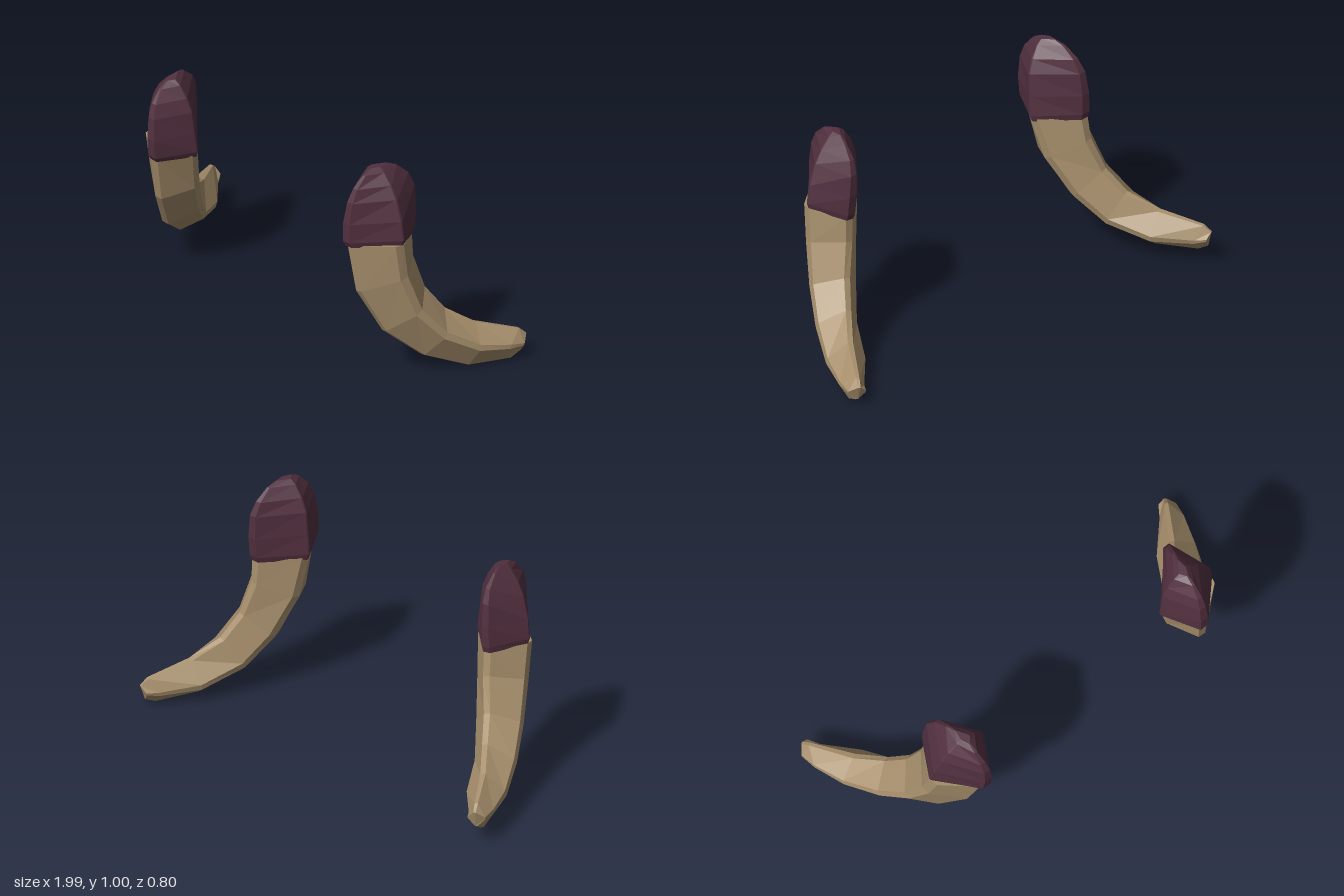
import * as THREE from 'three';

const hornMat = new THREE.MeshStandardMaterial({ color: 0xa78f6c, flatShading: true });
hornMat.name = 'tan horn';
const capMat = new THREE.MeshStandardMaterial({ color: 0x52303f, flatShading: true });
capMat.name = 'dark plum';

const V = (x, y, z) => new THREE.Vector3(x, y, z);

// Horn sections from tip to root: front, outer, back and inner corner
const hornSections = [
  [V(0.96, 0.03, -0.335), V(0.995, 0.07, -0.32), V(0.965, 0.1, -0.36), V(0.93, 0.07, -0.36)],
  [V(0.95, 0.005, -0.28), V(0.985, 0.08, -0.25), V(0.95, 0.13, -0.33), V(0.9, 0.06, -0.31)],
  [V(0.87, 0.01, -0.1), V(0.94, 0.11, -0.11), V(0.85, 0.19, -0.16), V(0.78, 0.08, -0.17)],
  [V(0.78, 0.09, 0.08), V(0.875, 0.2, 0.035), V(0.77, 0.27, -0.05), V(0.69, 0.15, 0.0)],
  [V(0.7, 0.235, 0.235), V(0.82, 0.33, 0.14), V(0.72, 0.38, 0.02), V(0.615, 0.28, 0.1)],
  [V(0.64, 0.44, 0.33), V(0.787, 0.505, 0.2), V(0.68, 0.53, 0.055), V(0.55, 0.46, 0.18)],
  [V(0.62, 0.67, 0.36), V(0.78, 0.67, 0.22), V(0.675, 0.65, 0.06), V(0.52, 0.65, 0.21)],
];

// Cap sections: y, front z, back z, outer x, inner x, front ridge x, back ridge x, tilt
const capSections = [
  [0.653, 0.365, 0.055, 0.78, 0.512, 0.62, 0.675, 1],
  [0.68, 0.38, 0.045, 0.788, 0.503, 0.615, 0.675, 1],
  [0.77, 0.38, 0.035, 0.776, 0.51, 0.615, 0.675, 0.8],
  [0.87, 0.363, 0.036, 0.745, 0.52, 0.62, 0.67, 0.4],
  [0.93, 0.335, 0.06, 0.712, 0.545, 0.625, 0.66, 0.2],
  [0.98, 0.285, 0.115, 0.67, 0.58, 0.63, 0.65, 0],
  [1.0, 0.24, 0.16, 0.648, 0.607, 0.63, 0.64, 0],
].map(([y, fz, bz, ox, ix, fx, bx, t]) => [
  V(fx, y + 0.006 * t, fz), V(ox, y + 0.012 * t, 0.205),
  V(bx, y - 0.014 * t, bz), V(ix, y - 0.012 * t, 0.212),
]);

// Turn four corners into eight by giving each ridge a narrow flat
function bevel([f, o, b, i], ridge, side) {
  const across = o.clone().sub(i).multiplyScalar(ridge);
  const along = f.clone().sub(b).multiplyScalar(side);
  return [
    f.clone().sub(across), f.clone().add(across),
    o.clone().add(along), o.clone().sub(along),
    b.clone().add(across), b.clone().sub(across),
    i.clone().sub(along), i.clone().add(along),
  ];
}

// Skin the rings and close both ends
function loft(rings, place, flip) {
  const pts = [], idx = [], n = rings[0].length;
  const tri = (a, b, c) => (flip ? idx.push(a, c, b) : idx.push(a, b, c));
  rings.forEach(r => pts.push(...r));
  for (let k = 0; k < rings.length - 1; k++) {
    for (let i = 0; i < n; i++) {
      const a = k * n + i, b = k * n + (i + 1) % n;
      tri(a, b, b + n);
      tri(a, b + n, a + n);
    }
  }
  const last = (rings.length - 1) * n;
  for (let i = 1; i < n - 1; i++) {
    tri(0, i + 1, i);
    tri(last, last + i, last + i + 1);
  }
  const geo = new THREE.BufferGeometry().setFromPoints(pts.map(p => place(p.clone())));
  geo.setIndex(idx);
  const flat = geo.toNonIndexed();
  flat.computeVertexNormals();
  return flat;
}

function makeHorn(name, place, flip) {
  const g = new THREE.Group();
  g.name = name;
  const horn = new THREE.Mesh(loft(hornSections.map(s => bevel(s, 0.07, 0.07)), place, flip), hornMat);
  horn.name = 'hornBody';
  const cap = new THREE.Mesh(loft(capSections.map(s => bevel(s, 0.07, 0.012)), place, flip), capMat);
  cap.name = 'hornCap';
  g.add(horn, cap);
  return g;
}

export function createModel() {
  const model = new THREE.Group();
  model.name = 'hornPair';
  model.add(makeHorn('leftHorn', p => p, false));

  // The right horn is mirrored and swung slightly upward
  const pivot = V(0.645, 0.82, 0.2);
  const swing = new THREE.Euler(0.11, -0.05, 0.03);
  const mirror = p => {
    p.sub(pivot).applyEuler(swing).add(V(0.595, 0.811, 0.222));
    p.x *= -1;
    return p;
  };
  model.add(makeHorn('rightHorn', mirror, true));
  return model;
}
